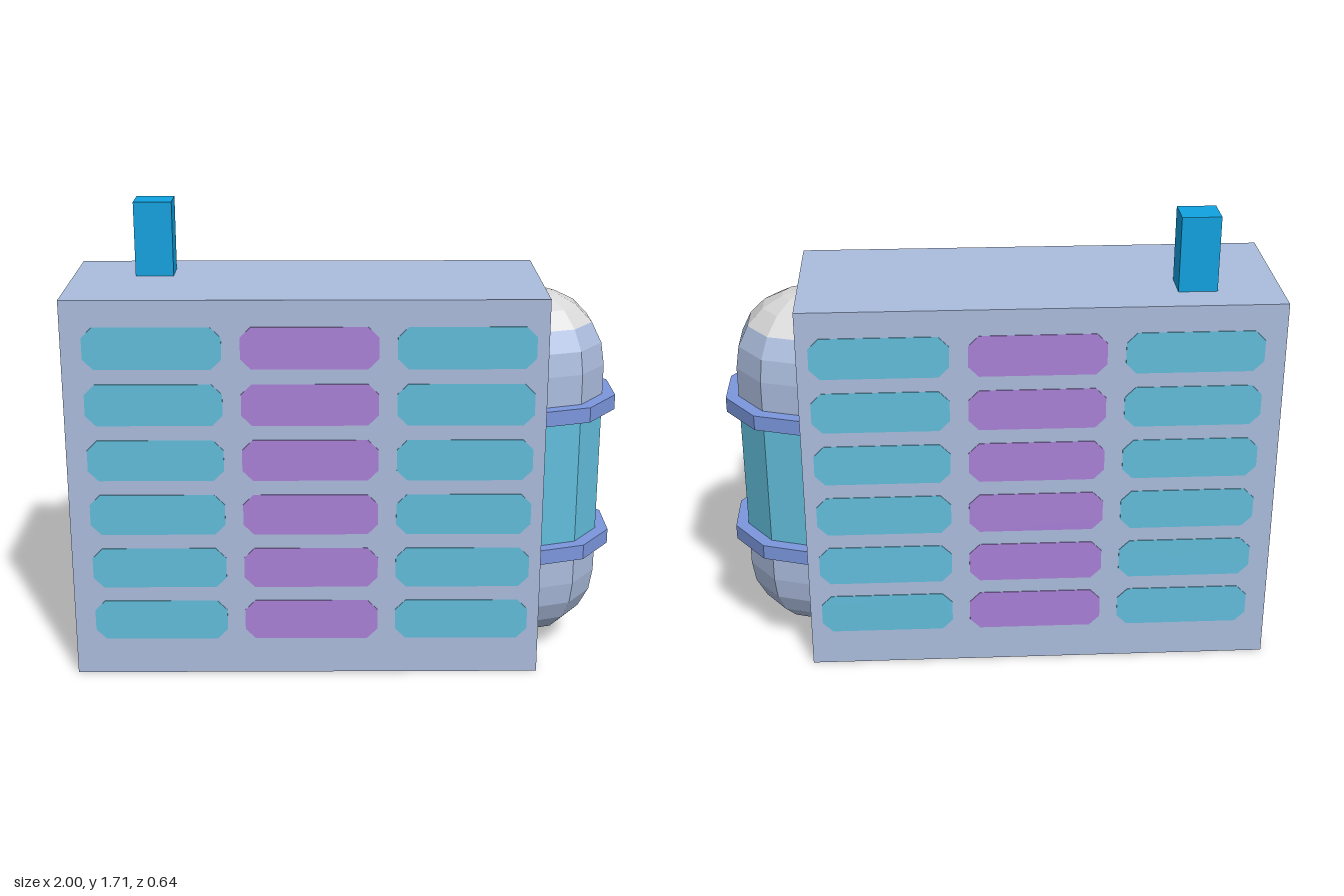
import * as THREE from 'three';

const mat = (name, color) => {
  const m = new THREE.MeshStandardMaterial({ color });
  m.name = name;
  return m;
};

// Faceted copy of a geometry
const faceted = (g) => {
  const f = g.toNonIndexed();
  f.computeVertexNormals();
  return f;
};

export function createModel() {
  const group = new THREE.Group();
  const casing = mat('casing blue grey', 0xabbcdd);
  const plate = mat('light grey', 0xd8d8d8);
  const teal = mat('teal', 0x62bddb);
  const purple = mat('purple', 0xa981d8);
  const band = mat('band blue', 0x7a96dc);
  const blue = mat('bright blue', 0x0fa2e0);

  const add = (name, geo, material, x = 0, y = 0, z = 0) => {
    const m = new THREE.Mesh(geo, material);
    m.name = name;
    m.position.set(x, y, z);
    group.add(m);
    return m;
  };

  // Main casing with grey ends
  const H = 1.435, D = 0.634;
  add('casing', new THREE.BoxGeometry(1.72, H, D),
    [plate, plate, casing, casing, casing, casing], -0.14, H / 2, 0);

  // Chimney post on the roof
  add('chimney', new THREE.BoxGeometry(0.14, 0.275, 0.126), blue, -0.7, H + 0.1375, -0.12);

  // Chamfered panels on front and back
  const w = 0.245, h = 0.077, c = 0.038;
  const outline = new THREE.Shape([
    [-w + c, -h], [w - c, -h], [w, -h + c], [w, h - c],
    [w - c, h], [-w + c, h], [-w, h - c], [-w, -h + c],
  ].map(([x, y]) => new THREE.Vector2(x, y)));
  const panelGeo = new THREE.ExtrudeGeometry(outline, { depth: 0.003, bevelEnabled: false });
  for (const side of [1, -1]) {
    for (let col = 0; col < 3; col++) {
      for (let row = 0; row < 6; row++) {
        const p = add(side > 0 ? 'frontPanel' : 'backPanel', panelGeo, col === 1 ? purple : teal,
          -0.68 + col * 0.556, 0.217 + row * 0.2088, side * D / 2);
        if (side < 0) p.rotation.y = Math.PI;
      }
    }
  }

  // Ten-sided capsule tank on the left end
  const R = 0.268, tankX = 0.7, low = 0.313, high = 1.132;
  const arc = (y, from, to) => {
    const pts = [];
    for (let i = from; i <= to; i++) {
      const a = i * Math.PI / 10;
      pts.push(new THREE.Vector2(Math.max(0, R * Math.cos(a)), y + R * Math.sin(a)));
    }
    return pts;
  };
  const side = (y) => new THREE.Vector2(R, y);
  const lathe = (pts) => faceted(new THREE.LatheGeometry(pts, 10));
  add('tankBottom', lathe([...arc(low, -5, 0), side(0.457)]), casing, tankX);
  add('tankWindow', lathe([side(0.457), side(0.992)]), teal, tankX);
  add('tankShoulder', lathe([side(0.992), ...arc(high, 0, 2)]), casing, tankX);
  add('tankCap', lathe(arc(high, 2, 5)), plate, tankX);

  // Straps round the tank
  const strapGeo = faceted(new THREE.CylinderGeometry(0.316, 0.316, 0.056, 10));
  for (const y of [0.457, 0.992]) add('strap', strapGeo, band, tankX, y, 0);

  return group;
}
